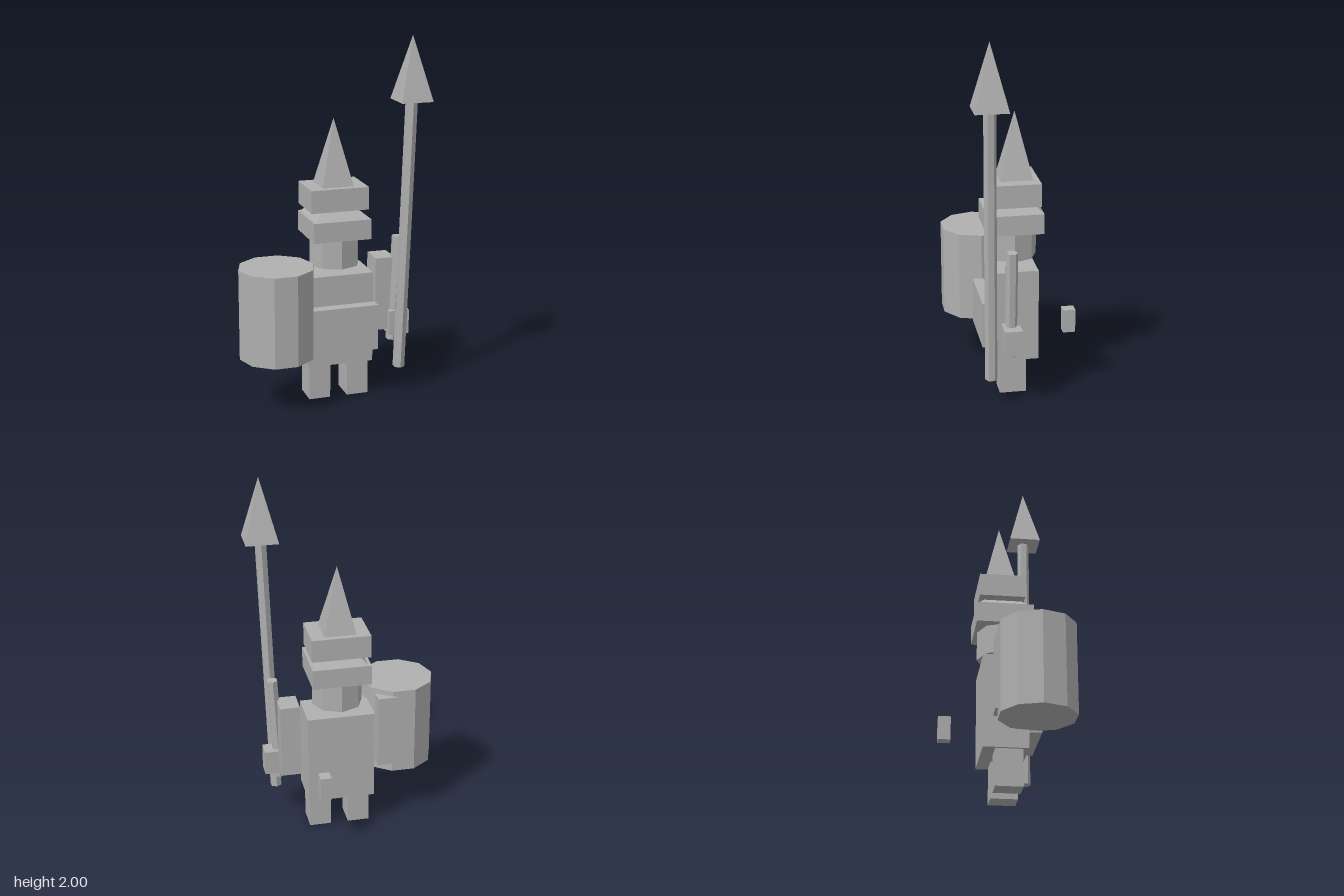
import * as THREE from 'three';

export function createModel() {
  const group = new THREE.Group();
  const stone = new THREE.MeshStandardMaterial({ color: 0xb0b0b0, flatShading: true });
  stone.name = 'plain grey';

  const add = (name, geometry) => {
    const mesh = new THREE.Mesh(geometry, stone);
    mesh.name = name;
    group.add(mesh);
    return mesh;
  };
  // box given by its extents
  const box = (name, x0, x1, y0, y1, z0, z1) =>
    add(name, new THREE.BoxGeometry(x1 - x0, y1 - y0, z1 - z0))
      .position.set((x0 + x1) / 2, (y0 + y1) / 2, (z0 + z1) / 2);
  // square pyramid standing on y0
  const pyramid = (name, x, z, half, y0, y1) =>
    add(name, new THREE.ConeGeometry(half * Math.SQRT2, y1 - y0, 4).rotateY(Math.PI / 4))
      .position.set(x, (y0 + y1) / 2, z);
  // leaning six-sided pole between two points
  const pole = (name, radius, from, to) => {
    const a = new THREE.Vector3(...from), b = new THREE.Vector3(...to);
    const mesh = add(name, new THREE.CylinderGeometry(radius, radius, a.distanceTo(b), 6));
    mesh.position.copy(a).add(b).multiplyScalar(0.5);
    mesh.quaternion.setFromUnitVectors(new THREE.Vector3(0, 1, 0), b.sub(a).normalize());
  };

  // legs and body
  box('rightLeg', -0.115, 0.005, 0, 0.2, -0.06, 0.085);
  box('leftLeg', 0.102, 0.223, 0, 0.2, -0.06, 0.085);
  box('torso', -0.13, 0.24, 0.2, 0.71, -0.125, 0.113);
  box('chestPlate', -0.118, 0.248, 0.29, 0.545, 0.12, 0.182);

  // arms and hands
  box('rightArm', -0.27, -0.162, 0.355, 0.77, -0.077, 0.063);
  box('leftArm', 0.273, 0.381, 0.355, 0.77, -0.077, 0.063);
  box('leftHand', 0.345, 0.46, 0.33, 0.467, 0, 0.095);
  box('looseHand', 0.152, 0.213, 0.33, 0.46, -0.334, -0.267);

  // head and helmet
  add('head', new THREE.CylinderGeometry(0.139, 0.139, 0.16, 8)).position.set(0.054, 0.83, -0.003);
  box('helmetBrim', -0.105, 0.216, 0.91, 1.02, -0.158, 0.147);
  pyramid('helmetCrown', 0.055, -0.012, 0.143, 1.02, 1.165);
  box('helmetBand', -0.105, 0.216, 1.063, 1.188, -0.143, 0.102);
  pyramid('helmetSpike', 0.056, -0.023, 0.087, 1.188, 1.55);

  // drum-shaped shield
  add('roundShield', new THREE.CylinderGeometry(0.206, 0.206, 0.5, 10).rotateY(Math.PI / 2))
    .position.set(-0.312, 0.55, 0.132);

  // spear and short rod
  pole('spearShaft', 0.033, [0.379, 0.167, 0.156], [0.427, 1.66, 0.165]);
  pyramid('spearHead', 0.428, 0.165, 0.088, 1.657, 2);
  pole('shortRod', 0.031, [0.373, 0.292, 0.049], [0.403, 0.887, 0.047]);

  return group;
}
